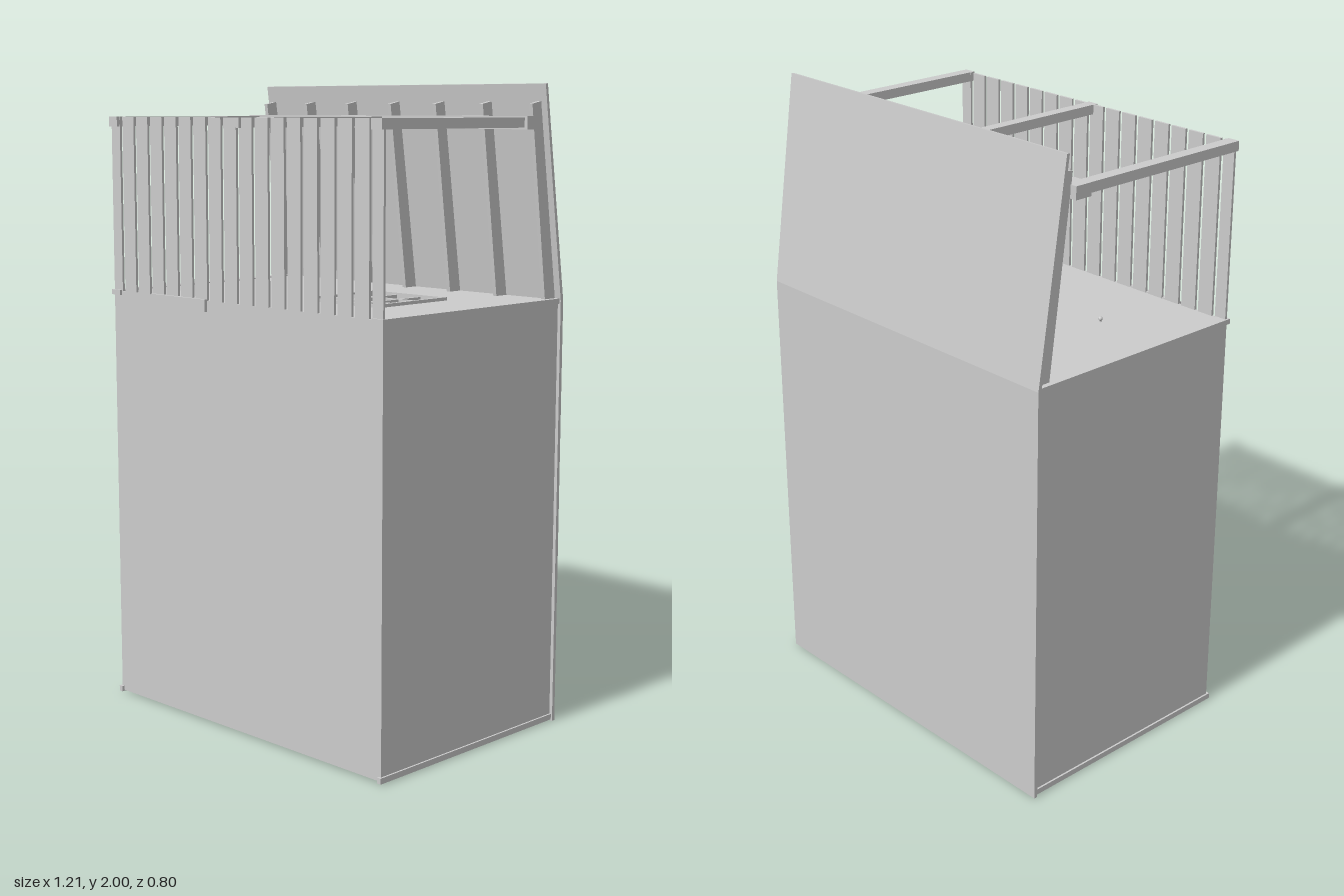
import * as THREE from 'three';

const mat = new THREE.MeshStandardMaterial({ color: 0xcccccc, flatShading: true });
const curtainMat = new THREE.MeshStandardMaterial({ color: 0xcccccc, side: THREE.DoubleSide });

export function createModel() {
  const root = new THREE.Group();

  function add(name, geometry, material = mat) {
    const mesh = new THREE.Mesh(geometry, material);
    mesh.name = name;
    root.add(mesh);
    return mesh;
  }

  // Box given by its two extreme values on each axis
  function box(name, x0, x1, y0, y1, z0, z1) {
    const g = new THREE.BoxGeometry(x1 - x0, y1 - y0, z1 - z0);
    g.translate((x0 + x1) / 2, (y0 + y1) / 2, (z0 + z1) / 2);
    return add(name, g);
  }

  // Side profile of [z, y] points, extruded along x
  function profile(name, points, x, width) {
    const shape = new THREE.Shape(points.map(([z, y]) => new THREE.Vector2(z, y)));
    const g = new THREE.ExtrudeGeometry(shape, { depth: width, bevelEnabled: false });
    g.translate(0, 0, -width / 2).rotateY(-Math.PI / 2).translate(x, 0, 0);
    return add(name, g);
  }

  // Cabin body
  const top = 1.347;
  box('cabinBody', -0.594, 0.594, 0.008, 1.31, -0.391, 0.392);

  // Wall with the window opening
  const win = { x0: 0.06, x1: 0.367, z0: -0.133, z1: 0.175 };
  const wall = new THREE.Shape();
  wall.moveTo(-0.594, -0.392).lineTo(0.594, -0.392).lineTo(0.594, 0.391).lineTo(-0.594, 0.391).closePath();
  const hole = new THREE.Path();
  hole.moveTo(win.x0, -win.z1).lineTo(win.x0, -win.z0).lineTo(win.x1, -win.z0).lineTo(win.x1, -win.z1).closePath();
  wall.holes.push(hole);
  const wallGeo = new THREE.ExtrudeGeometry(wall, { depth: top - 1.31, bevelEnabled: false });
  add('windowWall', wallGeo.rotateX(-Math.PI / 2).translate(0, 1.31, 0));

  // Window frame and glazing bars
  const f = 0.011, frameTop = 1.357;
  for (let i = 0; i < 4; i++) {
    const edge = i % 3 === 0;
    const h = edge ? frameTop : 1.351;
    const x = win.x0 + f / 2 + i * (win.x1 - win.x0 - f) / 3;
    const z = win.z0 + f / 2 + i * (win.z1 - win.z0 - f) / 3;
    const name = edge ? 'windowFrame' : 'glazingBar';
    box(name, x - f / 2, x + f / 2, 1.335, h, win.z0, win.z1);
    box(name, win.x0, win.x1, 1.335, h, z - f / 2, z + f / 2);
  }

  // Softly pleated curtain behind the window
  const curtain = new THREE.PlaneGeometry(win.x1 - win.x0, win.z1 - win.z0, 48, 1);
  curtain.rotateX(-Math.PI / 2).translate((win.x0 + win.x1) / 2, 1.322, (win.z0 + win.z1) / 2);
  const p = curtain.attributes.position;
  for (let i = 0; i < p.count; i++) p.setY(i, 1.322 + 0.004 * Math.sin(p.getX(i) * 125));
  curtain.computeVertexNormals();
  add('curtain', curtain, curtainMat);

  // Door handle and threshold
  const knob = add('doorKnob', new THREE.SphereGeometry(0.007, 12, 8));
  knob.position.set(-0.348, 1.358, 0.1);
  const stem = add('knobStem', new THREE.CylinderGeometry(0.003, 0.003, 0.012, 8));
  stem.position.set(-0.348, 1.352, 0.1);
  box('doorThreshold', -0.4, -0.145, 1.313, 1.351, 0.386, 0.402);

  // Corner trim and porch rails on both sides
  for (const s of [-1, 1]) {
    const lo = (a, b) => [Math.min(s * a, s * b), Math.max(s * a, s * b)];
    box('cornerTrimTop', ...lo(0.557, 0.6), 1.335, 1.351, -0.39, 0.4);
    box('cornerTrimSide', ...lo(0.585, 0.6), 1.335, 1.35, -0.39, 0.4);
    box('cornerTrimBase', ...lo(0.585, 0.6), 0.004, 0.022, -0.39, 0.4);
  }

  // Porch posts and the beam across them
  for (const [a, b] of [[-0.595, -0.555], [-0.02, 0.017], [0.555, 0.595]])
    box('porchPost', a, b, 1.87, 1.9, -0.22, 0.402);
  box('porchBeam', -0.605, 0.605, 1.865, 1.904, -0.27, -0.212);

  // Porch deck boards
  const pitch = 0.0683, gap = 0.013;
  for (let i = 0; i < 18; i++) {
    const x0 = Math.max(-0.594, (i - 9) * pitch + gap / 2);
    const x1 = Math.min(0.594, (i - 8) * pitch - gap / 2);
    box('deckBoard', x0, x1, 1.335, 1.9, 0.384, 0.392);
  }

  // Folded roof sheet
  profile('roof', [
    [-0.402, 0], [-0.39, 0], [-0.39, 1.345], [-0.296, 1.999], [-0.306, 2], [-0.402, 1.345],
  ], 0, 1.21);

  // Rafters under the porch roof
  for (let i = -3; i <= 3; i++)
    profile('rafter', [[-0.39, 1.34], [-0.341, 1.34], [-0.262, 1.94], [-0.304, 1.948]], i * 0.192, 0.014);

  return root;
}
